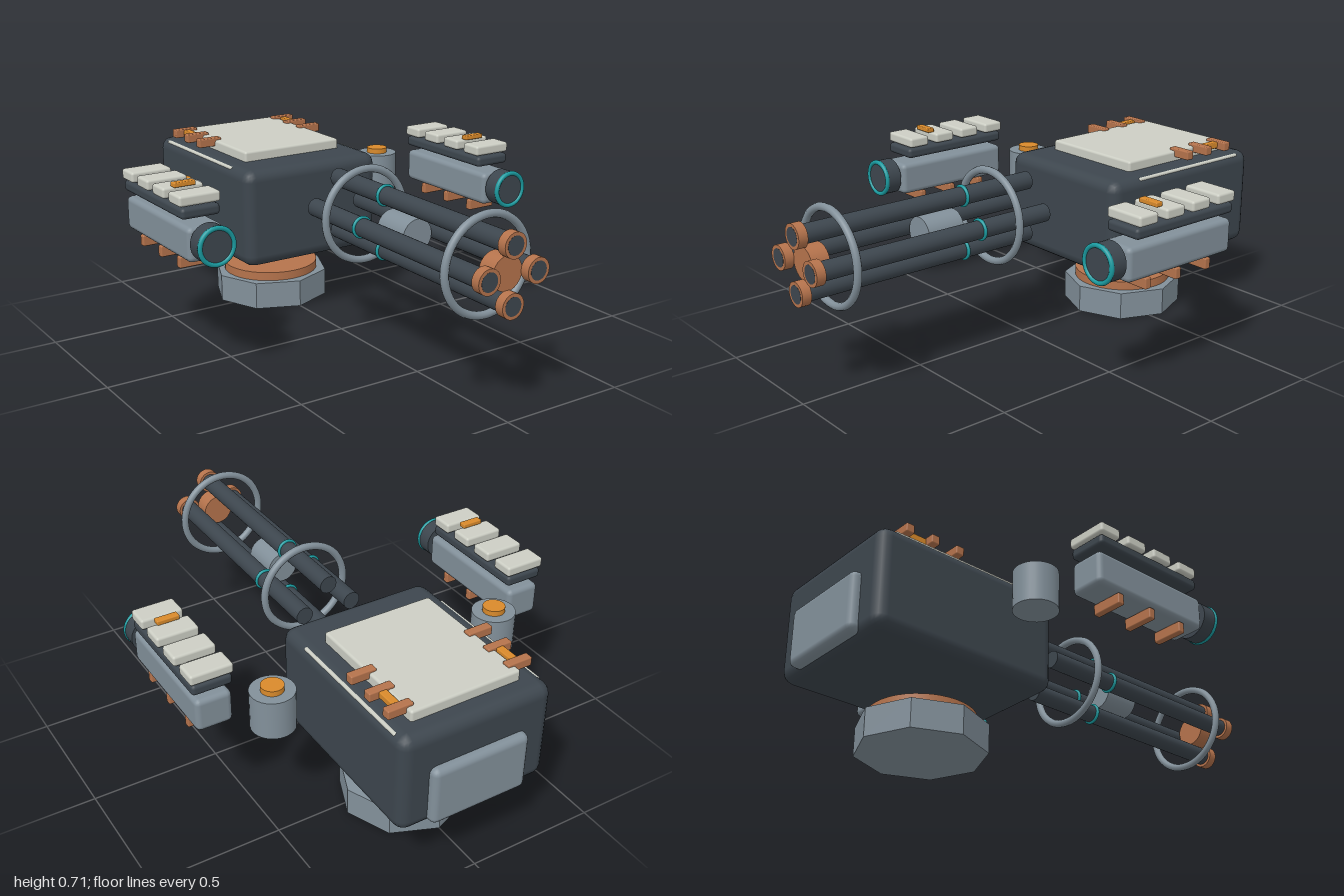
import * as THREE from 'three';
import { RoundedBoxGeometry } from 'three/addons/geometries/RoundedBoxGeometry.js';

const mat = (color) => new THREE.MeshStandardMaterial({ color });

export function createModel() {
  const root = new THREE.Group();
  root.name = 'turret';
  const dark = mat(0x3d464e), steel = mat(0x82909a), pale = mat(0xcccec4);
  const copper = mat(0xb5734c), orange = mat(0xd98a2b), teal = mat(0x1a9ba0);
  const flatSteel = mat(0x82909a);
  flatSteel.flatShading = true;

  const add = (parent, name, geometry, material, x, y, z) => {
    const mesh = new THREE.Mesh(geometry, material);
    mesh.name = name;
    mesh.position.set(x, y, z);
    parent.add(mesh);
    return mesh;
  };
  const group = (name, x = 0, y = 0, z = 0) => {
    const g = new THREE.Group();
    g.name = name;
    g.position.set(x, y, z);
    root.add(g);
    return g;
  };
  const box = (w, h, d, r = 0.01) => new RoundedBoxGeometry(w, h, d, 2, r);
  const upright = (r, h, sides = 32) => new THREE.CylinderGeometry(r, r, h, sides);
  const along = (r, length, sides = 24) => upright(r, length, sides).rotateX(Math.PI / 2);
  const ring = (r, tube, sides = 48) => new THREE.TorusGeometry(r, tube, 10, sides);

  // Octagonal base and swivel collar
  const base = group('base', 0, 0, -0.55);
  add(base, 'basePlinth', upright(0.24, 0.11, 8), flatSteel, 0, 0.055, 0);
  add(base, 'swivelCollar', upright(0.197, 0.035, 40), copper, 0, 0.1275, 0);

  // Main housing with top and rear panels
  const housing = group('housing');
  add(housing, 'housingShell', box(0.61, 0.39, 0.77, 0.045), dark, 0, 0.445, -0.58);
  add(housing, 'rearPanel', box(0.39, 0.23, 0.08, 0.025), steel, 0, 0.38, -0.958);
  add(housing, 'topPanel', box(0.44, 0.05, 0.53), pale, 0, 0.655, -0.62);
  for (const s of [-1, 1]) {
    add(housing, 'edgeStrip', box(0.035, 0.035, 0.56, 0.006), pale, s * 0.277, 0.615, -0.62);
    for (const z of [-0.84, -0.732, -0.624])
      add(housing, 'topClamp', box(0.1, 0.035, 0.034, 0.005), copper, s * 0.24, 0.672, z);
    add(housing, 'clampLink', box(0.03, 0.025, 0.11, 0.004), orange, s * 0.238, 0.673, -0.786);
  }

  // Four barrels around a central axis
  const barrels = group('barrelCluster', 0, 0.517, 0);
  for (let i = 0; i < 4; i++) {
    const x = 0.104 * Math.cos((i * Math.PI) / 2);
    const y = 0.104 * Math.sin((i * Math.PI) / 2);
    add(barrels, 'barrel', along(0.035, 0.99), dark, x, y, 0.473);
    add(barrels, 'muzzleTip', along(0.046, 0.036), copper, x, y, 0.982);
    add(barrels, 'muzzleBore', along(0.034, 0.002), dark, x, y, 0.9995);
    add(barrels, 'barrelBand', ring(0.036, 0.007, 24), teal, x, y, 0.29);
  }
  add(barrels, 'frontHub', along(0.063, 0.07), copper, 0, 0, 0.93);
  add(barrels, 'middleHub', along(0.063, 0.155), steel, 0, 0, 0.407);
  for (const z of [0.16, 0.86])
    add(barrels, 'barrelHoop', ring(0.176, 0.015, 64), steel, 0, 0, z);

  for (const s of [-1, 1]) {
    // Canister beside the housing
    const canister = group('canister', s * 0.47, 0, -0.428);
    add(canister, 'canisterBody', upright(0.082, 0.15), steel, 0, 0.5, 0);
    add(canister, 'canisterCap', upright(0.042, 0.022), orange, 0, 0.585, 0);

    // Outer pod with segmented armour and a round front lens
    const pod = group('sidePod', s * 0.66);
    add(pod, 'podBody', box(0.138, 0.128, 0.515, 0.02), steel, 0, 0.516, -0.113);
    add(pod, 'podRail', box(0.152, 0.041, 0.48, 0.014), dark, 0, 0.623, -0.125);
    for (const z of [0.065, -0.064, -0.193, -0.322])
      add(pod, 'armourBlock', box(0.162, 0.04, 0.09), pale, 0, 0.668, z);
    add(pod, 'statusBar', box(0.086, 0.018, 0.03, 0.004), orange, 0, 0.696, -0.02);
    for (const z of [0.04, -0.11, -0.262])
      add(pod, 'podFin', box(0.122, 0.042, 0.027, 0.005), copper, 0, 0.429, z);
    add(pod, 'podLens', along(0.071, 0.066, 32), dark, 0, 0.526, 0.191);
    add(pod, 'lensRing', ring(0.066, 0.009), teal, 0, 0.526, 0.222);
  }
  return root;
}
